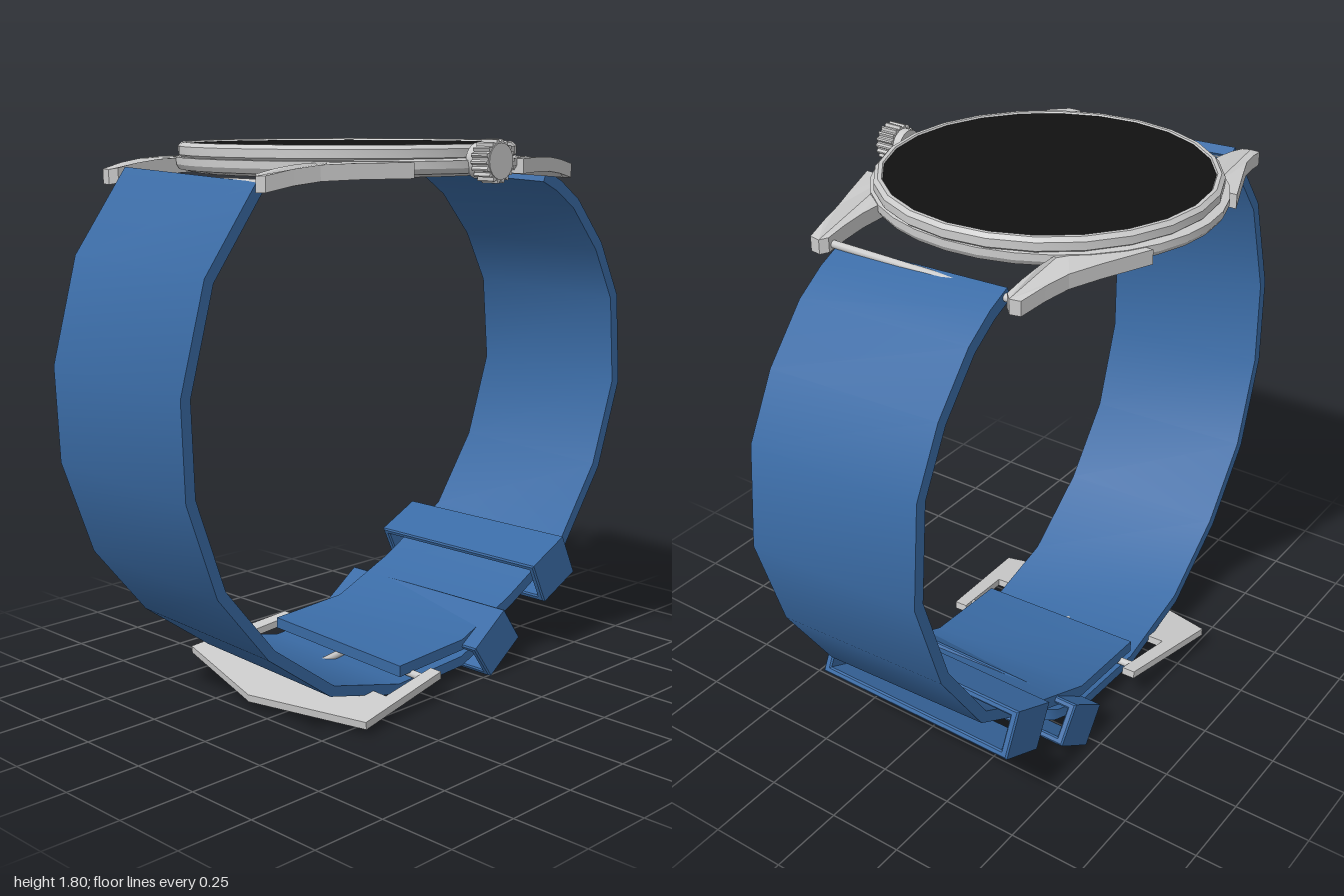
import * as THREE from 'three';
import { toCreasedNormals } from 'three/addons/utils/BufferGeometryUtils.js';

const metal = new THREE.MeshStandardMaterial({ color: 0xcccccc });
const blue = new THREE.MeshStandardMaterial({ color: 0x3a6ba5 });
const black = new THREE.MeshStandardMaterial({ color: 0x111111 });

function add(parent, name, geo, mat, x = 0, y = 0, z = 0) {
  const mesh = new THREE.Mesh(geo, mat);
  mesh.name = name;
  mesh.position.set(x, y, z);
  parent.add(mesh);
  return mesh;
}

const toShape = (pts) => new THREE.Shape(pts.map(([x, y]) => new THREE.Vector2(x, y)));

// Strap: rectangular sections along outer points [z, y, halfWidth]; side 1 = front, -1 = back
function strapGeometry(pts, side, thickness) {
  const pos = [], idx = [], n = pts.length;
  pts.forEach(([z, y, w = 0.295], i) => {
    const a = pts[Math.max(i - 1, 0)], b = pts[Math.min(i + 1, n - 1)];
    const len = Math.hypot(b[0] - a[0], b[1] - a[1]);
    const iz = z + side * (b[1] - a[1]) / len * thickness;
    const iy = y - side * (b[0] - a[0]) / len * thickness;
    const x = side * w;
    pos.push(-x, y, z, x, y, z, x, iy, iz, -x, iy, iz);
  });
  for (let i = 0; i < n - 1; i++) {
    for (let j = 0; j < 4; j++) {
      const a = i * 4 + j, b = i * 4 + (j + 1) % 4;
      idx.push(a, a + 4, b, b, a + 4, b + 4);
    }
  }
  const e = (n - 1) * 4;
  idx.push(0, 1, 2, 0, 2, 3, e, e + 2, e + 1, e, e + 3, e + 2);
  const geo = new THREE.BufferGeometry();
  geo.setAttribute('position', new THREE.Float32BufferAttribute(pos, 3));
  geo.setIndex(idx);
  return toCreasedNormals(geo, 0.6);
}

// Lug: plan outline extruded upward, its outer end bent down
function lugGeometry(sx, sz) {
  const plan = [[0.31, 0.36], [0.31, 0.5], [0.31, 0.58], [0.31, 0.65], [0.33, 0.67], [0.365, 0.665],
    [0.385, 0.58], [0.405, 0.5], [0.445, 0.4], [0.51, 0.24], [0.42, 0.24]];
  const geo = new THREE.ExtrudeGeometry(toShape(plan.map(([x, z]) => [x * sx, -z * sz])),
    { depth: 0.045, bevelEnabled: false });
  geo.rotateX(-Math.PI / 2);
  const p = geo.attributes.position;
  for (let i = 0; i < p.count; i++) {
    const t = Math.max(0, (Math.abs(p.getZ(i)) - 0.42) / 0.25);
    p.setY(i, p.getY(i) - 0.03 * t * t);
  }
  geo.computeVertexNormals();
  return geo;
}

// Keeper: rectangular ring, open along the strap direction
function keeperGeometry(height, length) {
  const rect = (w, h) => [[-w, -h], [w, -h], [w, h], [-w, h]];
  const shape = toShape(rect(0.36, height / 2));
  shape.holes.push(toShape(rect(0.335, height / 2 - 0.022)));
  const geo = new THREE.ExtrudeGeometry(shape, {
    depth: length - 0.01, bevelSize: 0.005, bevelThickness: 0.005, bevelOffset: -0.005, bevelSegments: 1,
  });
  return geo.translate(0, 0, -length / 2 + 0.005);
}

export function createModel() {
  const model = new THREE.Group();
  model.name = 'wristwatch';

  // Case, bezel and display
  const watch = new THREE.Group();
  watch.name = 'watchHead';
  watch.position.set(-0.037, 0, 0.1);
  model.add(watch);
  const lathe = (pts, sides) => toCreasedNormals(
    new THREE.LatheGeometry(pts.map(([r, y]) => new THREE.Vector2(r, y)), sides), 0.5);
  const caseGeo = lathe([[0, 1.705], [0.49, 1.705], [0.54, 1.715], [0.55, 1.73], [0.55, 1.752], [0.52, 1.758], [0, 1.758]], 32);
  add(watch, 'case', caseGeo, metal).scale.z = 0.95;
  add(watch, 'bezel', lathe([[0.515, 1.75], [0.527, 1.76], [0.527, 1.785], [0.515, 1.797],
    [0.503, 1.797], [0.495, 1.785]], 24), metal);
  add(watch, 'display', new THREE.CylinderGeometry(0.503, 0.503, 0.03, 48), black, 0, 1.777, 0);

  // Lugs and spring bars
  for (const sz of [1, -1]) {
    for (const sx of [1, -1]) add(watch, 'lug', lugGeometry(sx, sz), metal, 0, 1.705, 0);
    const bar = new THREE.CylinderGeometry(0.012, 0.012, 0.66, 10).rotateZ(Math.PI / 2);
    add(watch, 'springBar', bar, metal, 0, 1.698, sz * 0.63);
  }

  // Knurled crown
  const teeth = [];
  for (let i = 0; i < 72; i++) {
    const r = i % 4 < 2 ? 0.063 : 0.055, a = i / 72 * Math.PI * 2;
    teeth.push([r * Math.cos(a), r * Math.sin(a)]);
  }
  const crown = new THREE.ExtrudeGeometry(toShape(teeth), { depth: 0.06, bevelEnabled: false });
  add(watch, 'crown', crown.rotateY(Math.PI / 2), metal, 0.562, 1.75, 0);
  const stem = new THREE.CylinderGeometry(0.052, 0.052, 0.09, 24).rotateZ(Math.PI / 2);
  add(watch, 'crownCore', stem, metal, 0.58, 1.75, 0);
  const neck = new THREE.CylinderGeometry(0.03, 0.03, 0.08, 16).rotateZ(Math.PI / 2);
  add(watch, 'crownStem', neck, metal, 0.53, 1.75, 0);

  // Band hangs slightly askew below the case
  const pivot = new THREE.Group();
  pivot.name = 'band';
  pivot.position.set(-0.032, 1.7, 0);
  pivot.rotation.z = -0.043;
  model.add(pivot);
  const band = new THREE.Group();
  band.name = 'bandParts';
  band.position.y = -1.7;
  pivot.add(band);

  add(band, 'frontStrap', strapGeometry([[0.74, 1.715], [0.92, 1.465], [1.0, 1.145], [0.98, 0.85],
    [0.865, 0.55], [0.668, 0.316], [0.41, 0.13], [0.105, 0.052], [-0.206, 0.068], [-0.36, 0.13],
    [-0.42, 0.16, 0.27], [-0.46, 0.18, 0.21], [-0.485, 0.192, 0.1]], 1, 0.035), blue);
  add(band, 'backStrap', strapGeometry([[-0.52, 1.71], [-0.6, 1.675], [-0.7, 1.61], [-0.845, 1.455],
    [-0.955, 1.265], [-0.998, 0.95], [-0.91, 0.645], [-0.74, 0.385], [-0.45, 0.225], [-0.21, 0.125],
    [0.1, 0.11]], -1, 0.038), blue);

  // Buckle frame with pointed front, pin and tongue
  const buckle = new THREE.Group();
  buckle.name = 'buckle';
  buckle.position.set(0, 0.11, 0);
  buckle.rotation.x = 0.12;
  band.add(buckle);
  const frame = toShape([[-0.375, 0.01], [-0.42, -0.38], [0, -0.49], [0.42, -0.38], [0.375, 0.01],
    [0.33, 0.01], [0.35, -0.22], [-0.35, -0.22], [-0.33, 0.01]]);
  const frameGeo = new THREE.ExtrudeGeometry(frame, { depth: 0.025, bevelEnabled: false });
  add(buckle, 'buckleFrame', frameGeo.rotateX(-Math.PI / 2), metal, 0, -0.012, 0);
  const pin = new THREE.CylinderGeometry(0.013, 0.013, 0.72, 10).rotateZ(Math.PI / 2);
  add(buckle, 'bucklePin', pin, metal, 0, 0, 0.04);
  const tongue = new THREE.CylinderGeometry(0.012, 0.012, 0.26, 10).rotateX(Math.PI / 2);
  add(buckle, 'tongue', tongue, metal, 0, 0, 0.15);

  // Two keepers around the back strap
  for (const [z, y, h, tilt] of [[-0.615, 0.32, 0.155, 0.44], [-0.315, 0.125, 0.14, 0.61]]) {
    add(model, 'keeper', keeperGeometry(h, 0.185), blue, -0.105, y, z).rotation.x = tilt;
  }
  return model;
}
